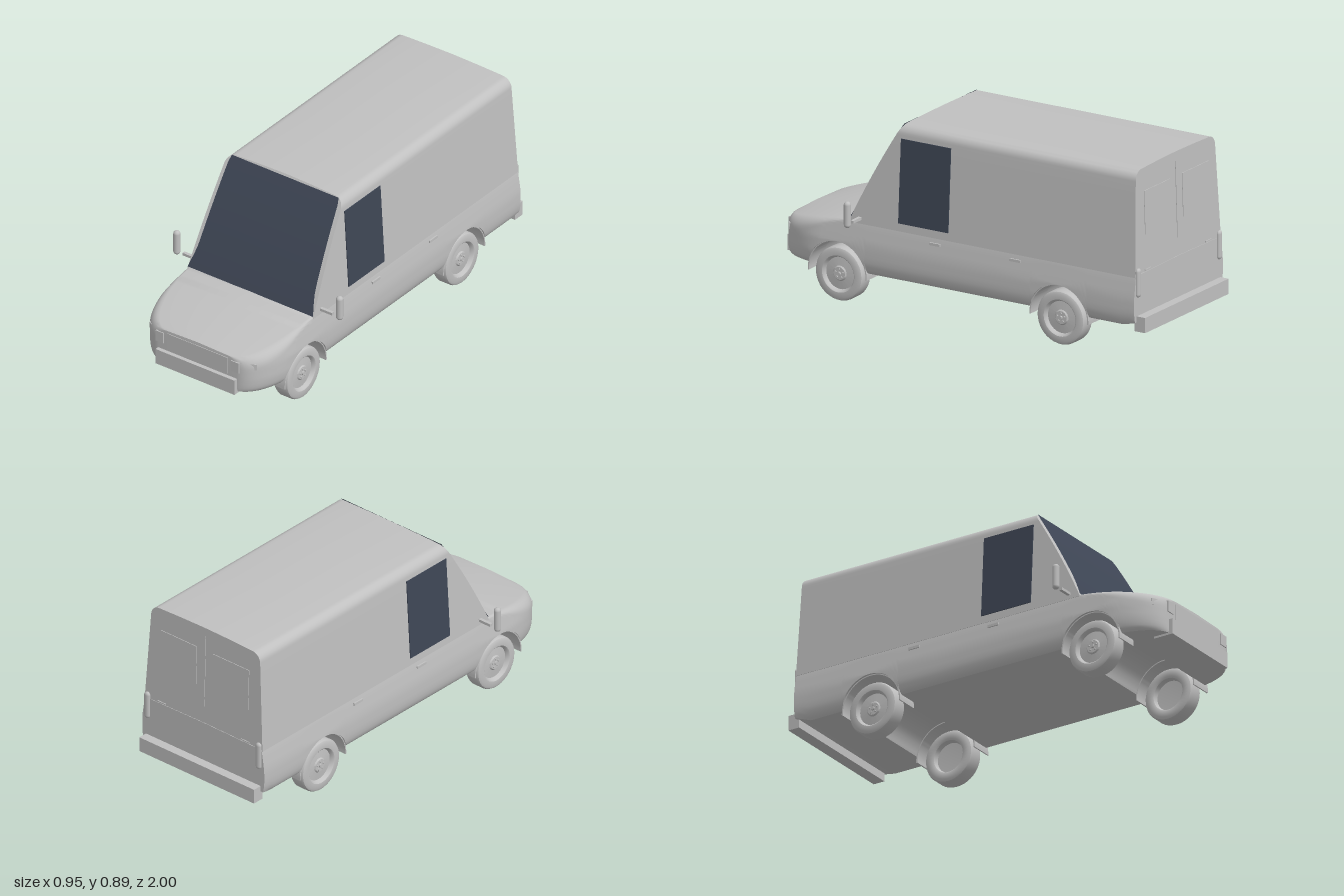
import * as THREE from 'three';
import { toCreasedNormals } from 'three/addons/utils/BufferGeometryUtils.js';

const paint = new THREE.MeshStandardMaterial({ name: 'grey paint', color: 0xc0c0c0 });
const glass = new THREE.MeshStandardMaterial({ name: 'dark glass', color: 0x3e4655, side: THREE.DoubleSide });

const AXLES = [0.645, -0.545], AXLE_Y = 0.132, ARCH_R = 0.157;
const lerp = THREE.MathUtils.lerp, smooth = THREE.MathUtils.smoothstep;

// Piecewise-linear lookup through [key, value] pairs
function sample(table, k) {
  for (let i = 1; i < table.length; i++) {
    const [a, va] = table[i - 1], [b, vb] = table[i];
    if (k <= b) return lerp(va, vb, Math.max(0, (k - a) / (b - a)));
  }
  return table[table.length - 1][1];
}

// Mirror a half section (bottom to top, x > 0) into a full ring
const mirrorRing = half => [...half, ...half.slice().reverse().map(([x, y, z]) => [-x, y, z])];

// Skin symmetric rings, ordered back to front, and cap both ends
function loft(rings) {
  const n = rings[0].length, index = [];
  const quad = (a, b, c, d) => index.push(a, b, c, a, c, d);
  for (let r = 0; r < rings.length - 1; r++)
    for (let i = 0; i < n; i++) {
      const j = (i + 1) % n;
      quad(r * n + i, r * n + j, (r + 1) * n + j, (r + 1) * n + i);
    }
  const f = (rings.length - 1) * n;
  for (let i = 0; i < n / 2 - 1; i++) {
    quad(f + i, f + i + 1, f + n - 2 - i, f + n - 1 - i);
    quad(n - 1 - i, n - 2 - i, i + 1, i);
  }
  const g = new THREE.BufferGeometry();
  g.setAttribute('position', new THREE.Float32BufferAttribute(rings.flat(2), 3));
  g.setIndex(index);
  return toCreasedNormals(g, 0.6);
}

function add(parent, name, geo, mat, x = 0, y = 0, z = 0) {
  const m = new THREE.Mesh(geo, mat);
  m.name = name;
  m.position.set(x, y, z);
  parent.add(m);
  return m;
}
const box = (w, h, d) => new THREE.BoxGeometry(w, h, d);

// Lower body: half section at a given z, with wheel tunnels cut from below
const SIDE = [[0.155, 0.93], [0.167, 0.965], [0.185, 0.985], [0.22, 1], [0.29, 1], [0.34, 0.98], [0.4, 0.955]];
function lowerSection(z) {
  let bottom = z < -0.88 ? 0.155 + (-0.88 - z) * 0.3 : 0.155;
  for (const c of AXLES) {
    const d = ARCH_R ** 2 - (z - c) ** 2;
    if (d > 0) bottom = Math.max(bottom, AXLE_Y + Math.sqrt(d));
  }
  const top = 0.397 - 0.07 * Math.max(0, (z - 0.58) / 0.4) ** 1.4;
  const s = Math.min(1, Math.max(0, (z - 0.72) / 0.26));
  const plan = 0.22 + 0.147 * Math.sqrt(1 - s * s);
  const round = 0.01 + 0.045 * smooth(z, 0.55, 0.9);
  const width = y => plan * sample(SIDE, y);
  const half = [];
  for (let i = 0; i <= 10; i++) {
    const y = lerp(bottom, top - round, (i / 10) ** 1.5);
    half.push([width(y), y, z]);
  }
  const w = width(top - round);
  for (let i = 1; i <= 6; i++) {
    const a = i / 6 * Math.PI / 2;
    half.push([w - round * (1 - Math.cos(a)), top - round + round * Math.sin(a), z]);
  }
  half.push([0.02, top + 0.004, z]);
  return mirrorRing(half);
}
function lowerBody() {
  const zs = [-0.955, -0.93, -0.88, -0.2, 0.2, 0.55, 0.98];
  for (const c of AXLES) {
    const a0 = Math.asin((0.155 - AXLE_Y) / ARCH_R);
    for (let i = 0; i <= 24; i++) zs.push(c - ARCH_R * Math.cos(lerp(a0, Math.PI - a0, i / 24)));
  }
  for (let i = 0; i < 14; i++) zs.push(0.72 + 0.26 * Math.sin((i + 0.5) / 14 * Math.PI / 2));
  return loft(zs.sort((a, b) => a - b).map(lowerSection));
}

// Upper body: one arch section swept between a leaning back and the sloped screen
const WALL_LEAN = 0.0587, BACK_LEAN = 0.032;
const wallX = y => 0.354 - WALL_LEAN * (y - 0.39);
const backZ = y => -0.953 + BACK_LEAN * (y - 0.39);
const screenZ = y => {
  const t = (y - 0.4) / 0.485;
  return lerp(0.58, 0.315, t) + 0.04 * t * (1 - t);
};
function upperBody() {
  const half = [];
  for (let i = 0; i <= 8; i++) {
    const y = lerp(0.388, 0.835, i / 8);
    half.push([wallX(y), y]);
  }
  for (let i = 1; i <= 7; i++) {
    const a = i / 7 * Math.PI / 2;
    half.push([0.28 + 0.048 * Math.cos(a), 0.835 + 0.048 * Math.sin(a)]);
  }
  half.push([0.15, 0.887], [0.02, 0.889]);
  return loft([0, 0.33, 0.66, 1].map(t =>
    mirrorRing(half.map(([x, y]) => [x, y, lerp(backZ(y), screenZ(y), t)]))));
}

// Windscreen: thin sheet just ahead of the sloped front
function windscreen() {
  const edge = [[0.4, 0.353], [0.45, 0.339], [0.5, 0.328], [0.86, 0.307], [0.882, 0.3]];
  const g = new THREE.PlaneGeometry(1, 1, 4, 16), p = g.attributes.position;
  for (let i = 0; i < p.count; i++) {
    const y = lerp(0.4, 0.882, p.getY(i) + 0.5);
    p.setXYZ(i, p.getX(i) * 2 * sample(edge, y), y, screenZ(y) + 0.005);
  }
  g.computeVertexNormals();
  return g;
}

// Wheel: turned tyre and dished rim, outer face towards +x
function makeWheel() {
  const wheel = new THREE.Group();
  wheel.name = 'wheel';
  const profile = [[0, -0.012], [0.072, -0.016], [0.078, -0.038], [0.085, -0.042], [0.112, -0.042],
    [0.122, -0.037], [0.127, -0.028], [0.127, 0.028], [0.122, 0.037], [0.112, 0.042], [0.087, 0.041],
    [0.082, 0.037], [0.076, 0.022], [0.036, 0.026], [0.03, 0.032], [0, 0.032]];
  const turned = new THREE.LatheGeometry(profile.map(([r, y]) => new THREE.Vector2(r, y)), 40);
  add(wheel, 'tyreAndRim', toCreasedNormals(turned.rotateZ(-Math.PI / 2), 0.6), paint);
  const nut = new THREE.CylinderGeometry(0.005, 0.005, 0.008, 8).rotateZ(-Math.PI / 2);
  for (let i = 0; i < 5; i++) {
    const a = i / 5 * Math.PI * 2;
    add(wheel, 'wheelNut', nut, paint, 0.034, 0.02 * Math.cos(a), 0.02 * Math.sin(a));
  }
  const cap = new THREE.CylinderGeometry(0.009, 0.009, 0.01, 16).rotateZ(-Math.PI / 2);
  add(wheel, 'hubCap', cap, paint, 0.035);
  return wheel;
}

// Arch liner: thin band around the top of a wheel opening
function archLiner() {
  const s = new THREE.Shape();
  s.absarc(0, 0, 0.158, -0.05, Math.PI + 0.05, false);
  s.absarc(0, 0, 0.152, Math.PI + 0.05, -0.05, true);
  const g = new THREE.ExtrudeGeometry(s, { depth: 0.112, bevelEnabled: false, curveSegments: 24 });
  return toCreasedNormals(g.translate(0, 0, -0.056).rotateY(Math.PI / 2), 0.6);
}

export function createModel() {
  const van = new THREE.Group();
  van.name = 'van';
  add(van, 'lowerBody', lowerBody(), paint);
  add(van, 'upperBody', upperBody(), paint);
  add(van, 'windscreen', windscreen(), glass);

  // Nose and tail
  add(van, 'frontBumper', box(0.444, 0.076, 0.1), paint, 0, 0.183, 0.95);
  add(van, 'rearBumper', box(0.69, 0.072, 0.058), paint, 0, 0.17, -0.971);
  add(van, 'grillePanel', box(0.34, 0.085, 0.006), paint, 0, 0.272, 0.98);
  add(van, 'rearDoorSeam', box(0.006, 0.36, 0.006), paint, 0, 0.665, backZ(0.665)).rotation.x = BACK_LEAN;

  const lampGeo = new THREE.CapsuleGeometry(0.016, 0.105, 4, 12).scale(1, 1, 0.7);
  const mirrorGeo = new THREE.CapsuleGeometry(0.0165, 0.092, 6, 16);
  const liner = archLiner();
  for (const s of [1, -1]) {
    // Glazing and doors
    add(van, 'sideWindow', box(0.008, 0.395, 0.268), glass, s * wallX(0.6225), 0.6225, 0.185)
      .rotation.z = s * WALL_LEAN;
    add(van, 'rearWindow', box(0.215, 0.205, 0.006), paint, s * 0.157, 0.673, backZ(0.673))
      .rotation.x = BACK_LEAN;
    for (const z of [0.12, -0.31])
      add(van, 'doorHandle', box(0.012, 0.012, 0.058), paint, s * 0.357, 0.361, z);
    add(van, 'rearDoorHandle', box(0.05, 0.006, 0.008), paint, s * 0.25, 0.405, backZ(0.405));

    // Lamps
    add(van, 'headlamp', box(0.044, 0.054, 0.03), paint, s * 0.212, 0.282, 0.97);
    add(van, 'indicator', box(0.085, 0.03, 0.012), paint, s * 0.262, 0.291, 0.955).rotation.y = s * 0.5;
    add(van, 'tailLamp', lampGeo, paint, s * 0.335, 0.362, -0.957);

    // Mirrors
    add(van, 'mirrorArm', box(0.075, 0.013, 0.016), paint, s * 0.383, 0.413, 0.525);
    add(van, 'mirror', mirrorGeo, paint, s * 0.458, 0.458, 0.525);

    // Running gear
    for (const z of AXLES) {
      const wheel = makeWheel();
      wheel.position.set(s * 0.308, 0.127, z);
      if (s < 0) wheel.rotation.y = Math.PI;
      van.add(wheel);
      add(van, 'archLiner', liner, paint, s * 0.301, AXLE_Y, z);
    }
  }
  return van;
}
